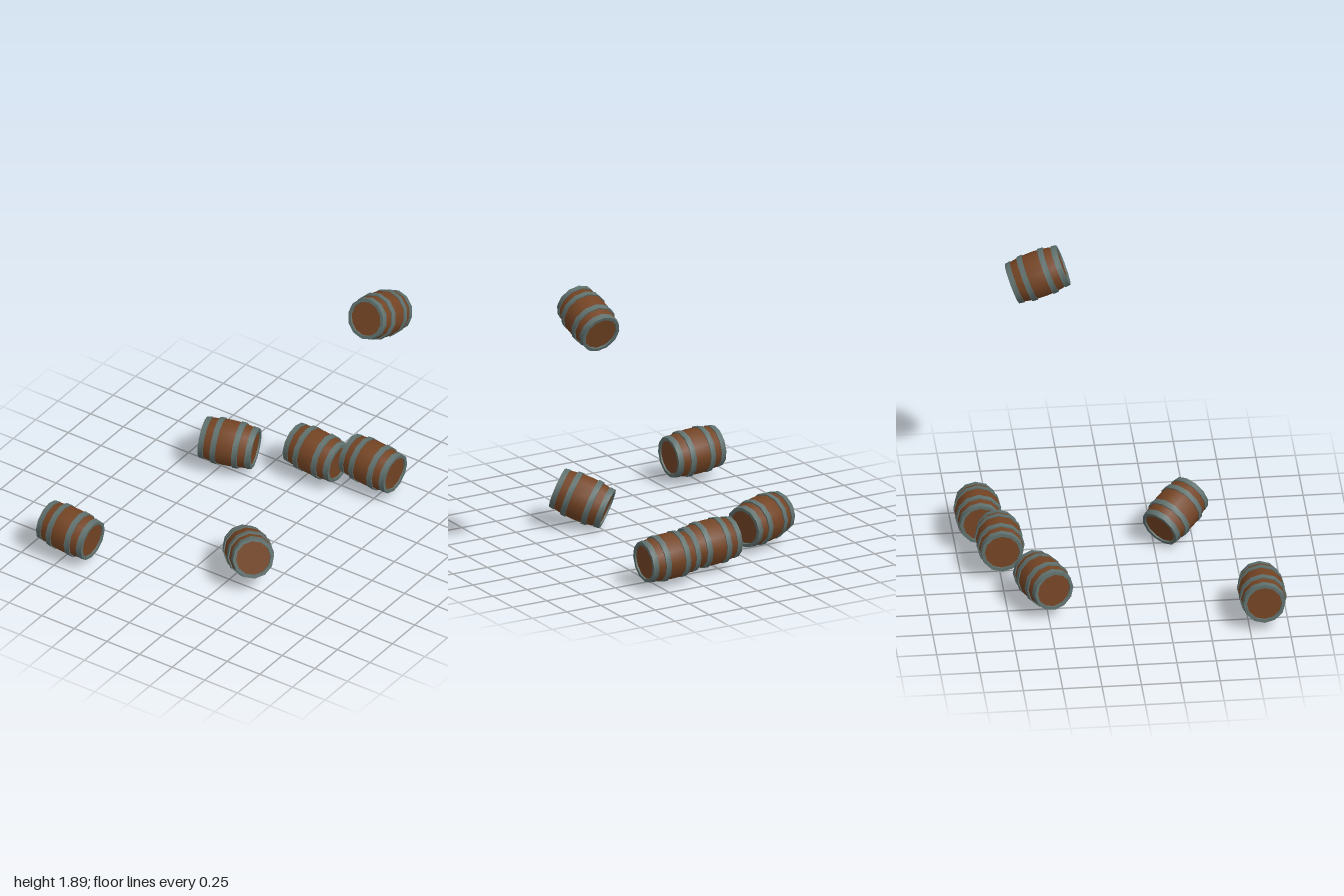
import * as THREE from 'three';
import { toCreasedNormals } from 'three/addons/utils/BufferGeometryUtils.js';

const SIDES = 12;
const HALF = 0.173;

const wood = new THREE.MeshStandardMaterial({ color: 0x744424 });
wood.name = 'wood';
const iron = new THREE.MeshStandardMaterial({ color: 0x5f706d });
iron.name = 'iron';

// Lathe profile of [radius, position along the barrel], laid along x
function turned(profile, crease) {
  const points = profile.map(([r, t]) => new THREE.Vector2(r, t));
  const geometry = new THREE.LatheGeometry(points, SIDES);
  geometry.rotateZ(-Math.PI / 2);
  return toCreasedNormals(geometry, crease);
}

// Bulging radius of the staves
const bulge = (t) => 0.147 - 0.023 * (t / HALF) ** 2;

// Staves
const staveProfile = [];
for (let i = 0; i <= 8; i++) {
  const t = (i / 4 - 1) * (HALF - 0.01);
  staveProfile.push([bulge(t), t]);
}
const staves = turned(staveProfile, 0.7);

// Raised hoop around the belly
const h = 0.018, c = 0.071;
const hoop = turned([
  [bulge(c - h) - 0.004, c - h], [bulge(c - h) + 0.007, c - h],
  [bulge(c + h) + 0.008, c + h], [bulge(c + h) - 0.004, c + h],
], 0.7);

// End rim, turned inwards around the recessed lid
const rim = turned([
  [0.122, HALF - 0.036], [0.138, HALF - 0.036], [0.133, HALF],
  [0.112, HALF], [0.11, HALF - 0.012],
], 0.7);

// Lid
const lid = turned([[0.113, HALF - 0.01], [0, HALF - 0.01]], 0.7);

function makeBarrel([x, y, z, yaw, tilt]) {
  const barrel = new THREE.Group();
  barrel.name = 'barrel';
  const add = (name, geometry, material, flip) => {
    const mesh = new THREE.Mesh(geometry, material);
    mesh.name = name;
    if (flip) mesh.rotation.y = Math.PI;
    barrel.add(mesh);
  };
  add('staves', staves, wood, false);
  for (const flip of [false, true]) {
    add('bellyHoop', hoop, iron, flip);
    add('endRim', rim, iron, flip);
    add('lid', lid, wood, flip);
  }
  barrel.position.set(x, y, z);
  barrel.rotation.set(0, THREE.MathUtils.degToRad(yaw), THREE.MathUtils.degToRad(tilt), 'YZX');
  return barrel;
}

export function createModel() {
  const group = new THREE.Group();
  group.name = 'scatteredBarrels';
  // x, y, z, yaw, tilt
  const layout = [
    [-0.735, 0.185, 0.84, 0, -4],
    [-0.45, 0.185, -0.52, 18.4, -4],
    [0.066, 0.185, -0.745, 0, -4],
    [0.425, 0.185, -0.845, 0, -4],
    [0.325, 0.185, 0.397, -44, 20],
    [0.765, 1.709, -0.434, -90, 20],
  ];
  for (const place of layout) group.add(makeBarrel(place));
  return group;
}
